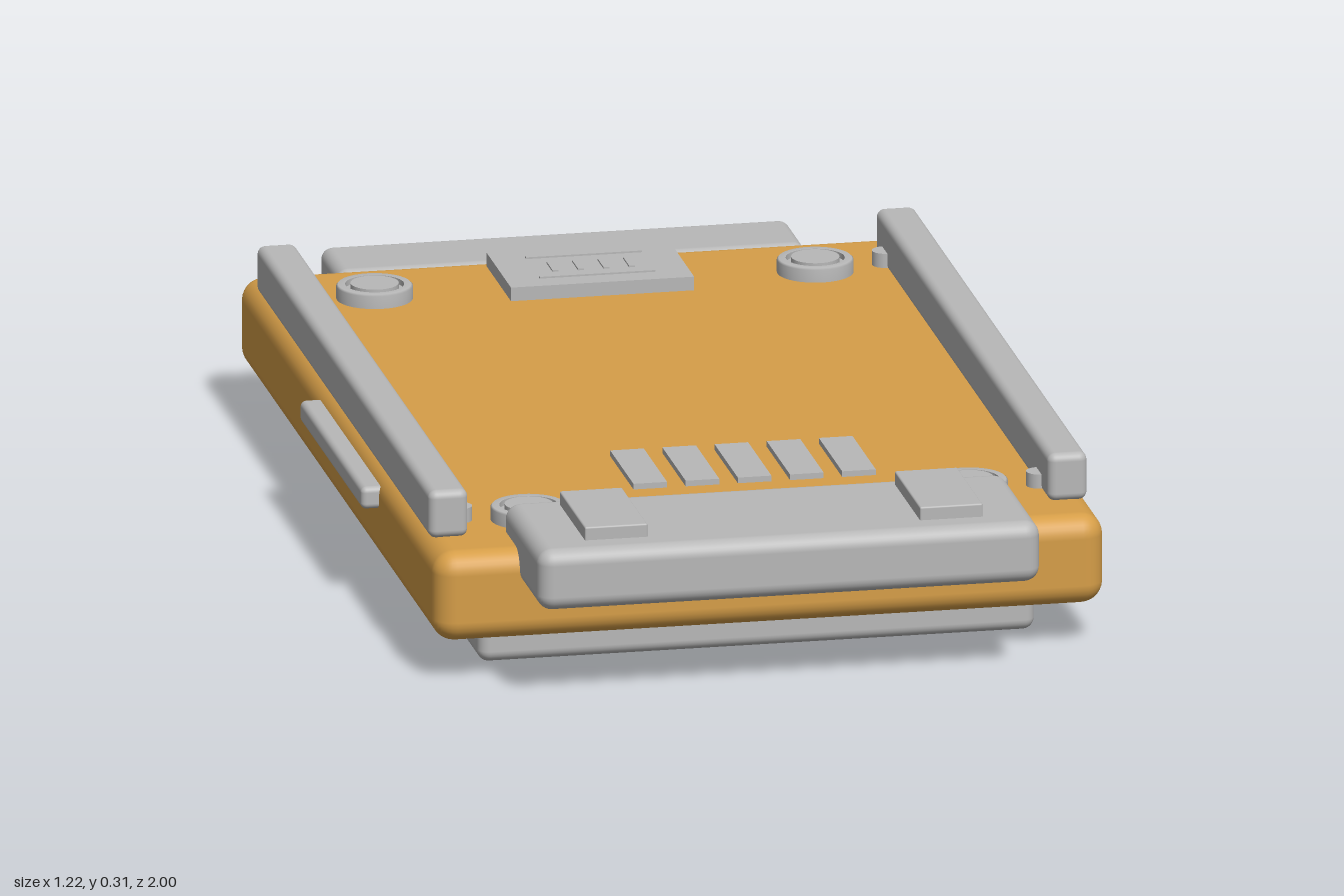
import * as THREE from 'three';
import { RoundedBoxGeometry } from 'three/addons/geometries/RoundedBoxGeometry.js';

export function createModel() {
  const model = new THREE.Group();
  const amber = new THREE.MeshStandardMaterial({ color: 0xd69e48 });
  amber.name = 'amber body';
  const grey = new THREE.MeshStandardMaterial({ color: 0xb8b8b8 });
  grey.name = 'light grey';

  const add = (name, geometry, material, x = 0, y = 0, z = 0) => {
    const mesh = new THREE.Mesh(geometry, material);
    mesh.name = name;
    mesh.position.set(x, y, z);
    model.add(mesh);
    return mesh;
  };
  // Box given by its limits on each axis, with an optional rounding radius
  const block = (name, [x0, x1], [y0, y1], [z0, z1], radius = 0, material = grey) => {
    const size = [x1 - x0, y1 - y0, z1 - z0];
    const geometry = radius
      ? new RoundedBoxGeometry(...size, 4, radius)
      : new THREE.BoxGeometry(...size);
    return add(name, geometry, material, (x0 + x1) / 2, (y0 + y1) / 2, (z0 + z1) / 2);
  };

  // Main slab and the plate underneath
  block('body', [-0.578, 0.578], [0.072, 0.23], [-0.835, 0.835], 0.038, amber);
  block('bottomPlate', [-0.48, 0.48], [0, 0.095], [-0.72, 0.72], 0.02);

  // End connectors
  block('frontConnector', [-0.433, 0.433], [0.17, 0.277], [0.692, 1], 0.026);
  block('rearConnector', [-0.404, 0.404], [0.13, 0.219], [-1, -0.842], 0.02);

  // Contact pins behind the front connector
  for (let i = -2; i <= 2; i++) {
    const x = i * 0.09;
    block('contactPin', [x - 0.029, x + 0.029], [0.285, 0.295], [0.5, 0.697]);
  }

  // Stepped ring screw: outer washer, groove, inner disc
  const ringProfile = [
    [0, 0.225], [0.065, 0.225], [0.065, 0.225], [0.065, 0.252], [0.062, 0.255],
    [0.05, 0.255], [0.05, 0.255], [0.05, 0.245], [0.05, 0.245], [0.041, 0.245],
    [0.041, 0.245], [0.041, 0.257], [0.041, 0.257], [0, 0.257],
  ].map(([r, y]) => new THREE.Vector2(r, y));
  const ringGeometry = new THREE.LatheGeometry(ringProfile, 32);
  const studGeometry = new THREE.CylinderGeometry(0.022, 0.022, 0.025, 20);

  for (const side of [-1, 1]) {
    const span = (a, b) => (side > 0 ? [a, b] : [-b, -a]);
    block('sideRail', span(0.5, 0.568), [0.228, 0.312], [-0.73, 0.73], 0.014);
    block('sideBar', span(0.56, 0.608), [0.17, 0.209], [-0.168, 0.354], 0.01);
    block('connectorPad', span(0.235, 0.343), [0.27, 0.3], [0.728, 0.943], 0.003);
    for (const z of [-0.65, 0.65]) {
      add('cornerScrew', ringGeometry, grey, side * 0.38, 0, z);
      add('railStud', studGeometry, grey, side * 0.5, 0.248, z);
    }
  }

  // Rear chip with raised marks
  block('rearChip', [-0.158, 0.158], [0.226, 0.254], [-0.79, -0.585]);
  for (const z of [-0.745, -0.63]) {
    block('chipLine', [-0.1, 0.1], [0.253, 0.257], [z - 0.004, z + 0.004]);
  }
  for (const x of [-0.066, -0.022, 0.022, 0.066]) {
    block('chipTick', [x - 0.005, x + 0.005], [0.253, 0.257], [-0.71, -0.66]);
  }

  return model;
}
